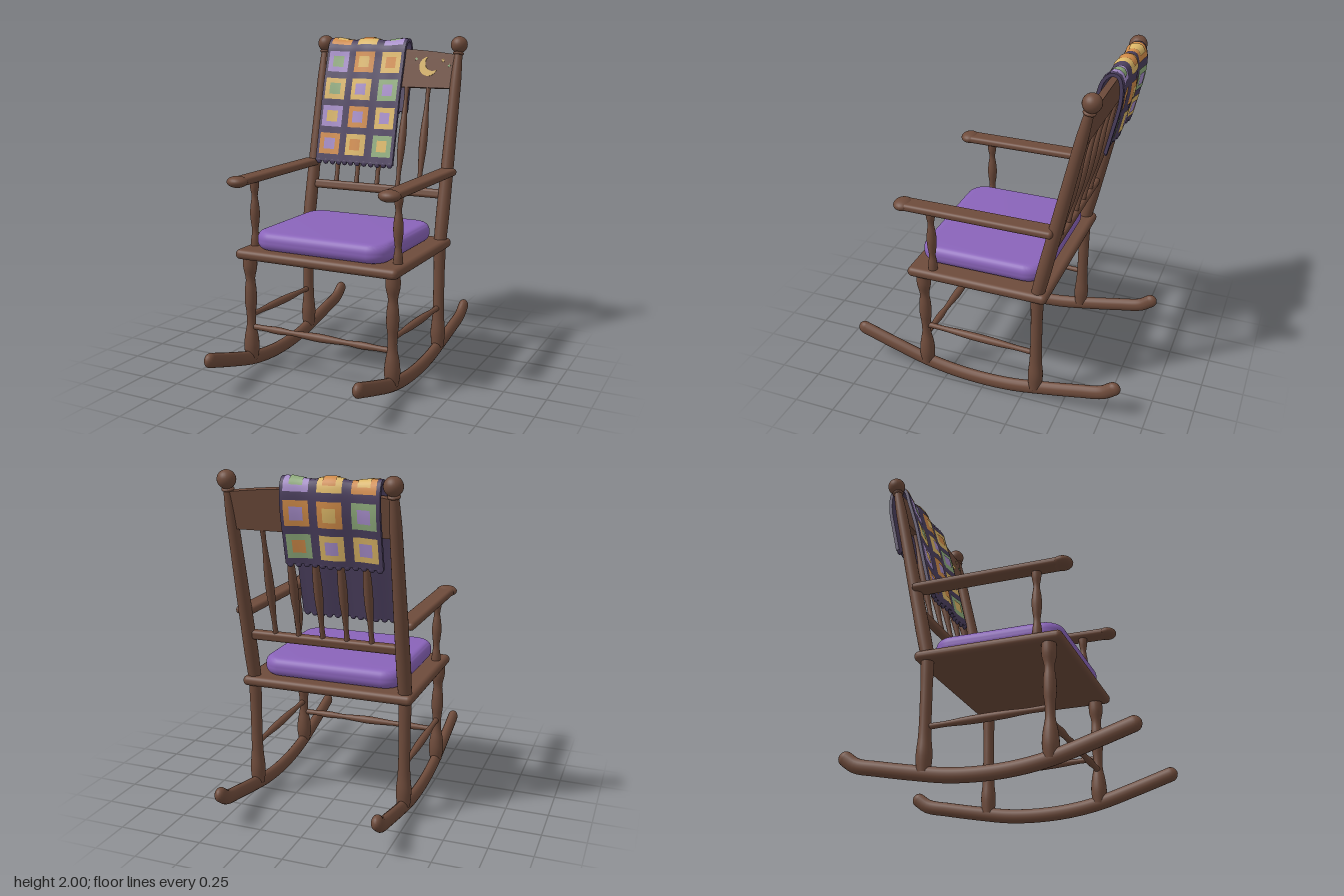
import * as THREE from 'three';
import { toCreasedNormals } from 'three/addons/utils/BufferGeometryUtils.js';
import { RoundedBoxGeometry } from 'three/addons/geometries/RoundedBoxGeometry.js';

const material = (name, color, side = THREE.FrontSide) => {
  const m = new THREE.MeshStandardMaterial({ color, side });
  m.name = name;
  return m;
};
const V = (x, y, z) => new THREE.Vector3(x, y, z);

// The back leans: z of its centre plane at height y
const SLOPE = 0.221;
const LEAN = -Math.atan(SLOPE);
const backZ = (y) => -0.335 - (y - 0.75) * SLOPE;

export function createModel() {
  const root = new THREE.Group();
  root.name = 'rockingChair';
  const wood = material('brown wood', 0x6e4b3b);
  const plum = material('purple cushion', 0x8a64ba);
  const D = THREE.DoubleSide;
  const dark = material('dark violet wool', 0x4b3f5e, D);
  const yarn = {
    y: material('yellow', 0xdab566, D),
    o: material('orange', 0xd08b49, D),
    l: material('lavender', 0xa58cc8, D),
    g: material('sage green', 0x8fab7c, D),
  };

  const add = (name, geo, mat, pos = V(0, 0, 0), parent = root) => {
    const m = new THREE.Mesh(geo, mat);
    m.name = name;
    m.position.copy(pos);
    parent.add(m);
    return m;
  };

  // Turned wooden bar from a to b; radii are evenly spaced along it
  const turned = (name, a, b, radii) => {
    const len = a.distanceTo(b);
    const pts = radii.map((r, i) => new THREE.Vector2(r, (i / (radii.length - 1)) * len));
    const geo = new THREE.LatheGeometry(new THREE.SplineCurve(pts).getPoints(32), 20);
    const m = add(name, geo, wood, a);
    m.quaternion.setFromUnitVectors(V(0, 1, 0), b.clone().sub(a).normalize());
  };

  // Both sides: rocker, legs, stretcher, back post, arm
  const rockerPath = new THREE.CatmullRomCurve3([
    [0.215, 0.805], [0.15, 0.6], [0.085, 0.375], [0.054, 0.19], [0.044, 0], [0.054, -0.19],
    [0.085, -0.375], [0.13, -0.6], [0.163, -0.74], [0.208, -0.805],
  ].map(([y, z]) => V(0, y, z)));
  for (const s of [-1, 1]) {
    const side = s > 0 ? 'left' : 'right';
    const x = s * 0.465;
    const rocker = new THREE.Group();
    rocker.name = side + 'Rocker';
    rocker.position.x = x;
    rocker.scale.x = 0.74;
    root.add(rocker);
    add('runner', new THREE.TubeGeometry(rockerPath, 64, 0.043, 16), wood, V(0, 0, 0), rocker);
    for (const t of [0, 1])
      add('runnerEnd', new THREE.SphereGeometry(0.043, 16, 12), wood, rockerPath.getPoint(t), rocker);

    turned(side + 'FrontLeg', V(x, 0.08, 0.375), V(x, 0.73, 0.375),
      [0.036, 0.046, 0.041, 0.028, 0.028, 0.036, 0.035, 0.028, 0.042, 0.04]);
    turned(side + 'BackLeg', V(x, 0.08, -0.33), V(x, 0.75, -0.335),
      [0.038, 0.045, 0.037, 0.034, 0.034, 0.034, 0.036, 0.038]);
    turned(side + 'Stretcher', V(x, 0.357, 0.37), V(x, 0.335, -0.33),
      [0.018, 0.016, 0.022, 0.024, 0.022, 0.016, 0.018]);
    turned(side + 'BackPost', V(x, 0.74, backZ(0.74)), V(x, 1.91, backZ(1.91)),
      [0.038, 0.041, 0.04, 0.039, 0.037, 0.035, 0.033, 0.024]);
    add(side + 'Finial', new THREE.SphereGeometry(0.052, 24, 18), wood, V(x, 1.948, -0.6));
    const neck = add(side + 'FinialRing', new THREE.TorusGeometry(0.026, 0.009, 8, 20), wood,
      V(x, 1.895, backZ(1.895)));
    neck.rotation.x = Math.PI / 2 + LEAN;
    turned(side + 'ArmSupport', V(x, 0.76, 0.31), V(x, 1.18, 0.31),
      [0.028, 0.026, 0.019, 0.025, 0.029, 0.025, 0.018, 0.026, 0.028]);
    add(side + 'Arm', new RoundedBoxGeometry(0.11, 0.045, 0.89, 4, 0.02), wood, V(s * 0.478, 1.183, 0.015));
    add(side + 'ArmKnob', new THREE.SphereGeometry(1, 24, 16), wood, V(s * 0.48, 1.183, 0.468))
      .scale.set(0.064, 0.034, 0.057);
  }
  turned('frontStretcher', V(-0.46, 0.285, 0.375), V(0.46, 0.285, 0.375),
    [0.018, 0.017, 0.022, 0.016, 0.021, 0.025, 0.021, 0.016, 0.022, 0.017, 0.018]);

  // Seat board and plump cushion
  add('seat', new RoundedBoxGeometry(1.04, 0.06, 0.86, 4, 0.028), wood, V(0, 0.745, 0.03));
  const w = 0.385, d = 0.34, r = 0.075;
  const pad = new THREE.Shape();
  [[1, 1, 0], [-1, 1, 1], [-1, -1, 2], [1, -1, 3]].forEach(([sx, sy, q]) =>
    pad.absarc(sx * (w - r), sy * (d - r), r, q * Math.PI / 2, (q + 1) * Math.PI / 2, false));
  const padGeo = new THREE.ExtrudeGeometry(pad, {
    depth: 0.012, bevelThickness: 0.05, bevelSize: 0.045, bevelSegments: 8, curveSegments: 10,
  });
  padGeo.translate(0, 0, -0.006).rotateX(-Math.PI / 2);
  add('cushion', toCreasedNormals(padGeo, 0.6), plum, V(0, 0.83, 0.04));

  // Back: lower rail, spindles, arched crest board
  add('lowerRail', new RoundedBoxGeometry(0.9, 0.057, 0.048, 4, 0.018), wood, V(0, 1.042, backZ(1.042)))
    .rotation.x = LEAN;
  for (let i = -2; i <= 2; i++)
    turned('spindle', V(i * 0.145, 1.05, backZ(1.05)), V(i * 0.145, 1.7, backZ(1.7)),
      [0.017, 0.014, 0.018, 0.024, 0.025, 0.022, 0.016, 0.013, 0.017]);
  const crest = new THREE.Group();
  crest.name = 'crest';
  crest.position.set(0, 1.68, backZ(1.68));
  crest.rotation.x = LEAN;
  root.add(crest);
  const board = new THREE.Shape();
  board.moveTo(-0.45, 0);
  board.lineTo(0.45, 0);
  board.lineTo(0.45, 0.212);
  board.quadraticCurveTo(0, 0.272, -0.45, 0.212);
  board.closePath();
  add('crestBoard', new THREE.ExtrudeGeometry(board, {
    depth: 0.036, bevelEnabled: false, curveSegments: 24,
  }), wood, V(0, 0, -0.018), crest);

  // Inlaid crescent moon and small stars
  const phi = 0.67, moon = new THREE.Shape();
  moon.absarc(0, 0, 0.06, phi + 0.983, phi - 0.983 + Math.PI * 2, false);
  moon.absarc(0.028, 0.022, 0.05, phi - 1.617, phi + 1.617, true);
  const thin = { depth: 0.006, bevelEnabled: false, curveSegments: 24 };
  add('moon', new THREE.ExtrudeGeometry(moon, thin), yarn.y, V(0.283, 0.133, 0.016), crest);
  const star = new THREE.Shape(Array.from({ length: 10 }, (_, i) => {
    const a = Math.PI / 2 + (i * Math.PI) / 5, q = i % 2 ? 0.005 : 0.012;
    return new THREE.Vector2(Math.cos(a) * q, Math.sin(a) * q);
  }));
  [[0.2, 0.178, 'g'], [0.378, 0.172, 'y'], [0.42, 0.14, 'g']].forEach(([x, y, c]) =>
    add('star', new THREE.ExtrudeGeometry(star, thin), yarn[c], V(x, y, 0.016), crest));

  // Throw blanket: a profile from the front hem, over the crest, to the back hem
  const drape = new THREE.CatmullRomCurve3([
    [1.2, -0.372], [1.45, -0.432], [1.66, -0.482], [1.85, -0.54], [1.93, -0.565], [1.964, -0.6],
    [1.962, -0.632], [1.92, -0.65], [1.82, -0.65], [1.66, -0.617], [1.52, -0.585],
  ].map(([y, z]) => V(0, y, z)));
  const LEN = drape.getLength(), X0 = -0.418, X1 = 0.128, T = 0.01;
  const cloth = (x, s, off) => {
    const u = THREE.MathUtils.clamp(s / LEN, 0, 1);
    const p = drape.getPointAt(u), t = drape.getTangentAt(u);
    const k = off + 0.007 * Math.cos(((x + 0.145) * Math.PI * 2) / 0.27);
    return V(x, p.y - t.z * k, p.z + t.y * k);
  };
  const surface = (fn, nu, nv) => {
    const pos = [], idx = [];
    for (let j = 0; j <= nv; j++)
      for (let i = 0; i <= nu; i++) pos.push(...fn(i / nu, j / nv).toArray());
    for (let j = 0; j < nv; j++)
      for (let i = 0; i < nu; i++) {
        const a = j * (nu + 1) + i, b = a + nu + 1;
        idx.push(a, a + 1, b + 1, a, b + 1, b);
      }
    const g = new THREE.BufferGeometry();
    g.setAttribute('position', new THREE.Float32BufferAttribute(pos, 3));
    g.setIndex(idx);
    g.computeVertexNormals();
    return g;
  };
  const lerp = THREE.MathUtils.lerp;
  add('blanketOuter', surface((a, b) => cloth(lerp(X0, X1, a), b * LEN, T), 36, 90), dark);
  add('blanketInner', surface((a, b) => cloth(lerp(X1, X0, a), b * LEN, -T), 36, 90), dark);
  add('blanketRightEdge', surface((a, b) => cloth(X0, b * LEN, lerp(-T, T, a)), 1, 90), dark);
  add('blanketLeftEdge', surface((a, b) => cloth(X1, b * LEN, lerp(T, -T, a)), 1, 90), dark);
  for (const s of [0, LEN]) {
    add('blanketHem', surface((a, b) => cloth(lerp(X0, X1, a), s, lerp(-T, T, b) * (s ? -1 : 1)), 36, 1), dark);
    for (let i = 0; i < 12; i++)
      add('scallop', new THREE.SphereGeometry(0.02, 10, 8), dark,
        cloth(lerp(X0 + 0.022, X1 - 0.022, i / 11), s, 0)).scale.z = 0.55;
  }

  // Patchwork squares, rows from front hem to back hem: outer colour then inner colour
  const rows = ['ol yo gy', 'ly ol yl', 'yg yl gl', 'lg oy yo', 'oy yo lg', 'gl oy ol', 'yl yl go'];
  const patch = (name, x, s, h, off, mat) => add(name,
    surface((a, b) => cloth(x + lerp(-h, h, a), s + lerp(-h, h, b), off), 10, 10), mat);
  rows.forEach((row, j) => row.split(' ').forEach(([outer, inner], i) => {
    const x = -0.33 + i * 0.185, s = 0.115 + j * (LEN - 0.22) / 6;
    patch('patchOuter', x, s, 0.068, T + 0.004, yarn[outer]);
    patch('patchInner', x, s, 0.036, T + 0.008, yarn[inner]);
  }));
  return root;
}
